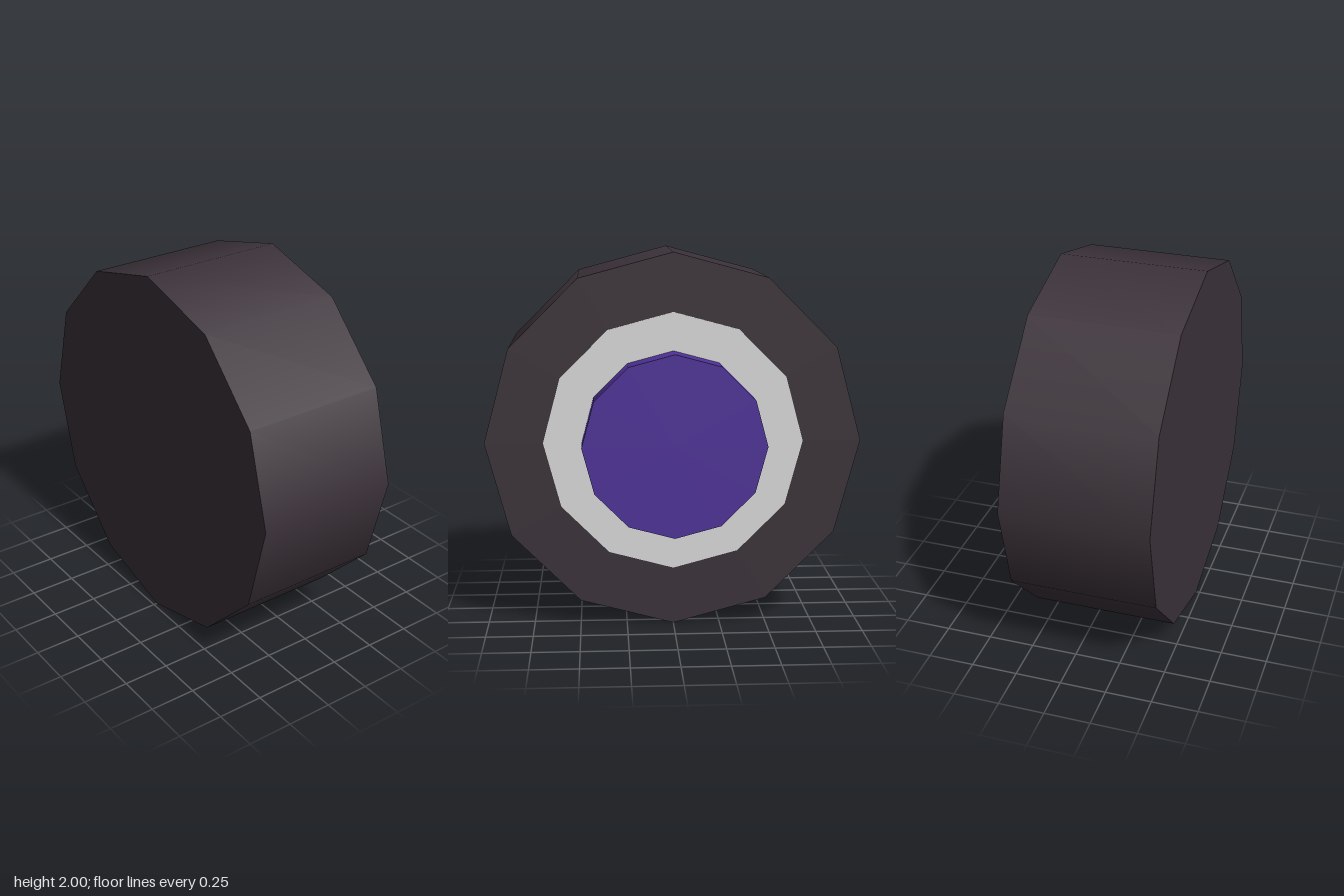
import * as THREE from 'three';

const SIDES = 12;

export function createModel() {
  const model = new THREE.Group();
  model.name = 'wheel';

  const paint = (name, color) => {
    const material = new THREE.MeshStandardMaterial({ color });
    material.name = name;
    return material;
  };
  const rubber = paint('dark rubber', 0x3b3239);
  const metal = paint('light grey metal', 0xdcdcdc);
  const purple = paint('purple', 0x4f3299);

  // Twelve-sided disc lying along x, from x0 to x1, at axle height
  const disc = (name, radius, x0, x1, material) => {
    const geometry = new THREE.CylinderGeometry(radius, radius, x1 - x0, SIDES);
    geometry.rotateZ(-Math.PI / 2);
    const mesh = new THREE.Mesh(geometry, material);
    mesh.name = name;
    mesh.position.set((x0 + x1) / 2, 1, 0);
    model.add(mesh);
  };

  // Solid tyre with a plain inner side
  disc('tyre', 1, -0.48, 0.31, rubber);
  // Thin rim plate on the outer side
  disc('rim', 0.69, 0.309, 0.314, metal);
  // Protruding hub cap
  disc('hubCap', 0.486, 0.312, 0.48, purple);

  return model;
}
